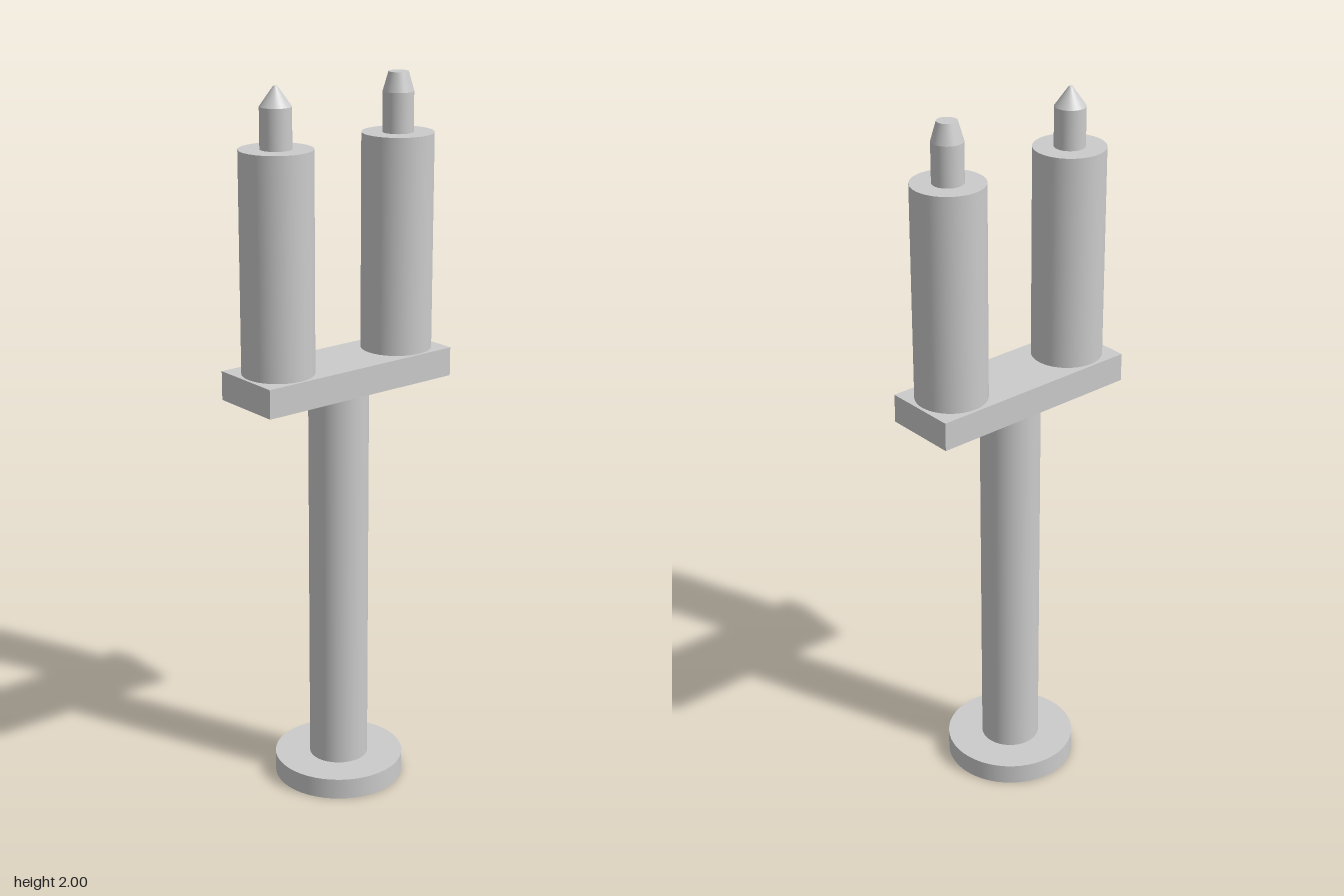
import * as THREE from 'three';

export function createModel() {
  const group = new THREE.Group();
  const material = new THREE.MeshStandardMaterial({ color: 0xcccccc });

  const add = (name, geometry, x, y, z = 0, parent = group) => {
    const mesh = new THREE.Mesh(geometry, material);
    mesh.name = name;
    mesh.position.set(x, y, z);
    parent.add(mesh);
  };
  // Upright round part between two heights
  const round = (name, x, y0, y1, rBottom, rTop = rBottom, parent = group) =>
    add(name, new THREE.CylinderGeometry(rTop, rBottom, y1 - y0, 48), x, (y0 + y1) / 2, 0, parent);

  // Stand
  round('baseDisc', 0, 0, 0.06, 0.183);
  round('post', 0, 0.06, 1.165, 0.083);
  add('crossPlate', new THREE.BoxGeometry(0.622, 0.08, 0.213), 0, 1.205, -0.001);

  // Two barrels, each with a pin: pointed on the right, blunt on the left
  for (const [side, x, tipRadius] of [['right', -0.204, 0.005], ['left', 0.203, 0.027]]) {
    const prong = new THREE.Group();
    prong.name = side + 'Prong';
    round(side + 'Barrel', x, 1.245, 1.84, 0.098, 0.098, prong);
    round(side + 'Pin', x, 1.84, 1.948, 0.042, 0.042, prong);
    round(side + 'PinTip', x, 1.948, 2, 0.042, tipRadius, prong);
    group.add(prong);
  }
  return group;
}
